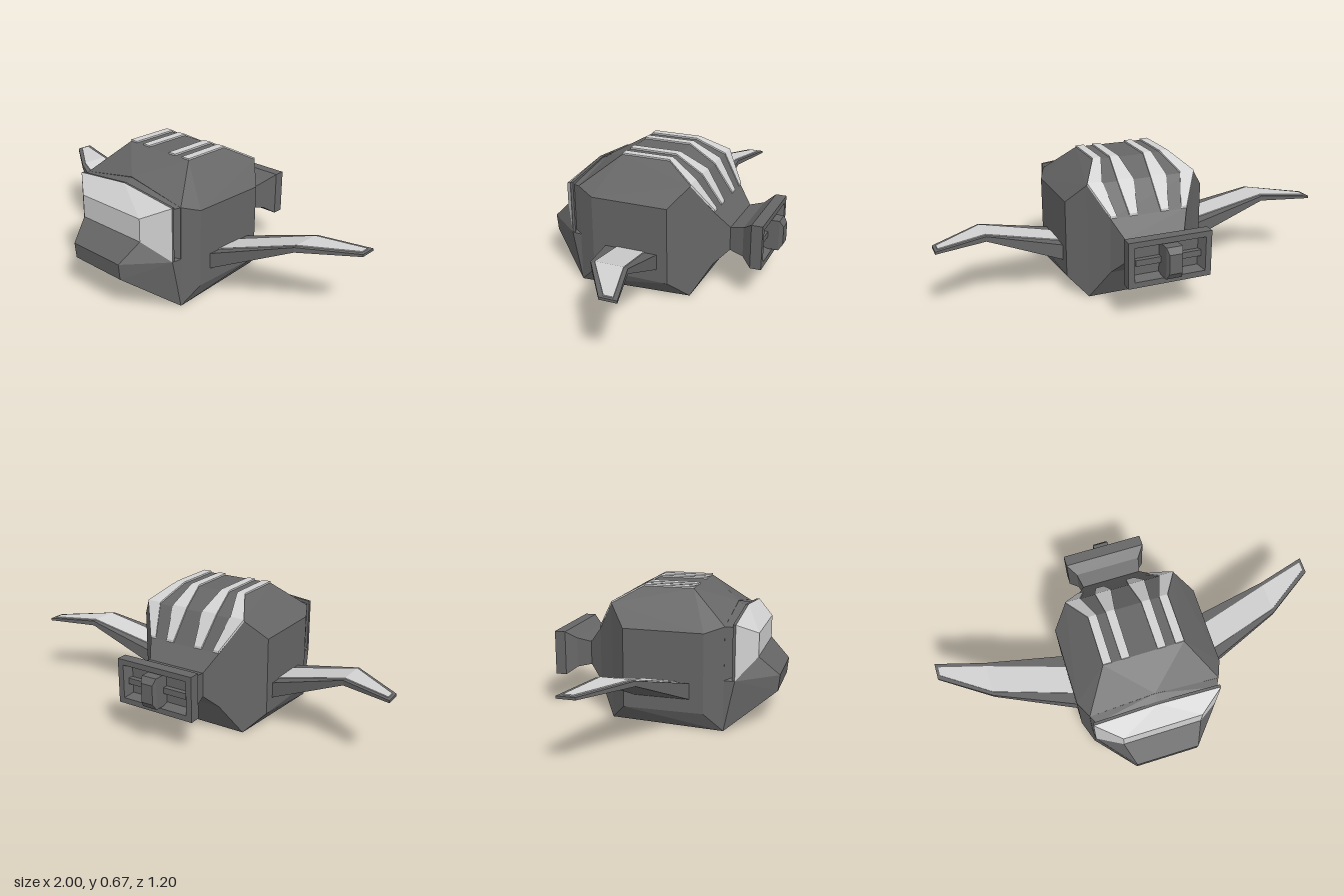
import * as THREE from 'three';
import { ConvexGeometry } from 'three/addons/geometries/ConvexGeometry.js';

// Flat-faced skin through rings of points (counter-clockwise seen from the last ring), capped at both ends
function loft(rings) {
  const pos = [];
  const tri = (...pts) => pts.forEach((p) => pos.push(...p));
  const n = rings[0].length;
  for (let r = 0; r < rings.length - 1; r++) {
    const a = rings[r], b = rings[r + 1];
    for (let i = 0; i < n; i++) {
      const j = (i + 1) % n;
      tri(a[i], a[j], b[j]);
      tri(a[i], b[j], b[i]);
    }
  }
  const first = rings[0], last = rings[rings.length - 1];
  for (let i = 1; i < n - 1; i++) {
    tri(first[0], first[i + 1], first[i]);
    tri(last[0], last[i], last[i + 1]);
  }
  const g = new THREE.BufferGeometry();
  g.setAttribute('position', new THREE.Float32BufferAttribute(pos, 3));
  g.computeVertexNormals();
  return g;
}

const mirrorRings = (rings) => rings.map((r) => r.map(([x, y, z]) => [-x, y, z]).reverse());

// Convex solid from the points of one half, mirrored in x
function symmetricHull(points) {
  const all = [];
  for (const [x, y, z] of points) {
    all.push(new THREE.Vector3(x, y, z));
    if (x !== 0) all.push(new THREE.Vector3(-x, y, z));
  }
  return new ConvexGeometry(all);
}

// Rectangular ring facing -z
const rearRing = (z, hx, y0, y1) => [[-hx, y0, z], [-hx, y1, z], [hx, y1, z], [hx, y0, z]];
// Rectangular ring facing +x
const sideRing = (x, zBack, zFront, y0, y1) =>
  [[x, y0, zBack], [x, y1, zBack], [x, y1, zFront], [x, y0, zFront]];

export function createModel() {
  const group = new THREE.Group();
  const hullGrey = new THREE.MeshStandardMaterial({ color: 0x666666 });
  hullGrey.name = 'hullGrey';
  const paleGrey = new THREE.MeshStandardMaterial({ color: 0xd2d2d2 });
  paleGrey.name = 'paleGrey';
  for (const m of [hullGrey, paleGrey]) m.flatShading = true;

  const add = (name, geometry, material) => {
    const mesh = new THREE.Mesh(geometry, material);
    mesh.name = name;
    group.add(mesh);
    return mesh;
  };

  // Main body
  add('body', symmetricHull([
    [0.2, 0.657, -0.07], [0.2, 0.657, 0.18],
    [0.365, 0.48, -0.125], [0.365, 0.48, 0.27],
    [0.365, 0.09, -0.125], [0.365, 0.09, 0.27],
    [0.28, 0, -0.21], [0.28, 0.58, -0.21],
    [0.325, 0, 0.36], [0.325, 0.51, 0.36], [0, 0.57, 0.36],
  ]), hullGrey);

  // Collar and frame behind the canopy
  add('collar', symmetricHull([
    [0.325, 0.2, 0.358], [0.325, 0.51, 0.358], [0, 0.568, 0.358],
    [0.303, 0.2, 0.4], [0.303, 0.505, 0.4], [0, 0.545, 0.4],
  ]), hullGrey);
  add('canopyFrame', symmetricHull([0.396, 0.41].flatMap((z) => [
    [0.318, 0.25, z], [0.318, 0.52, z], [0, 0.553, z],
  ])), hullGrey);

  // Nose
  add('nose', symmetricHull([
    [0.325, 0, 0.36], [0.325, 0.25, 0.36], [0.32, 0.25, 0.41],
    [0.16, 0.17, 0.592], [0.16, 0.25, 0.6], [0.2, 0.345, 0.5],
  ]), hullGrey);

  // Canopy
  add('canopy', symmetricHull([
    [0.32, 0.25, 0.41], [0.32, 0.52, 0.41], [0, 0.555, 0.41],
    [0.2, 0.46, 0.5], [0.2, 0.345, 0.5],
  ]), paleGrey);

  // Tail, neck and hollow exhaust block
  add('tail', loft([
    rearRing(-0.21, 0.28, 0, 0.58),
    rearRing(-0.3, 0.2, 0.155, 0.43),
    rearRing(-0.37, 0.155, 0.225, 0.345),
    rearRing(-0.44, 0.17, 0.21, 0.362),
    rearRing(-0.49, 0.21, 0.175, 0.4),
    rearRing(-0.545, 0.21, 0.175, 0.4),
    rearRing(-0.545, 0.18, 0.203, 0.372),
    rearRing(-0.5, 0.16, 0.22, 0.355),
  ]), hullGrey);

  // Exhaust core and its side ribs
  add('exhaustCore', loft([
    rearRing(-0.495, 0.04, 0.21, 0.365),
    rearRing(-0.58, 0.04, 0.21, 0.365),
    rearRing(-0.6, 0.032, 0.24, 0.335),
  ]), hullGrey);
  for (const s of [-1, 1]) {
    const rib = add('exhaustRib', new THREE.BoxGeometry(0.13, 0.03, 0.03), hullGrey);
    rib.position.set(s * 0.1, 0.287, -0.51);
  }

  // Wings with a pale panel on top
  const wing = [
    sideRing(0.3, -0.064, 0.225, 0.127, 0.215),
    sideRing(0.75, -0.11, 0.07, 0.33, 0.355),
    sideRing(1, -0.185, -0.1, 0.335, 0.347),
  ];
  const wingPanel = [
    sideRing(0.36, -0.005, 0.143, 0.232, 0.239),
    sideRing(0.75, -0.09, 0.05, 0.353, 0.36),
    sideRing(0.985, -0.16, -0.115, 0.345, 0.352),
  ];

  // Raised stripes running over the back: [z, y, inner x, outer x]
  const stripe = (stations) => loft(stations.map(([z, y, x0, x1]) =>
    [[x0, y - 0.004, z], [x0, y + 0.008, z], [x1, y + 0.008, z], [x1, y - 0.004, z]]));
  const outerStripe = [
    [0.18, 0.657, 0.157, 0.2], [-0.07, 0.657, 0.157, 0.2],
    [-0.21, 0.58, 0.205, 0.28], [-0.302, 0.435, 0.168, 0.2],
  ];
  const innerStripe = [
    [0.18, 0.657, 0.068, 0.11], [-0.07, 0.657, 0.066, 0.112],
    [-0.21, 0.58, 0.045, 0.128], [-0.302, 0.435, 0.06, 0.103],
  ];
  const flip = (st) => st.map(([z, y, x0, x1]) => [z, y, -x1, -x0]);

  for (const side of ['left', 'right']) {
    const left = side === 'left';
    const rings = (r) => loft(left ? r : mirrorRings(r));
    add(side + 'Wing', rings(wing), hullGrey);
    add(side + 'WingPanel', rings(wingPanel), paleGrey);
    add(side + 'OuterStripe', stripe(left ? outerStripe : flip(outerStripe)), paleGrey);
    add(side + 'InnerStripe', stripe(left ? innerStripe : flip(innerStripe)), paleGrey);
  }

  return group;
}
